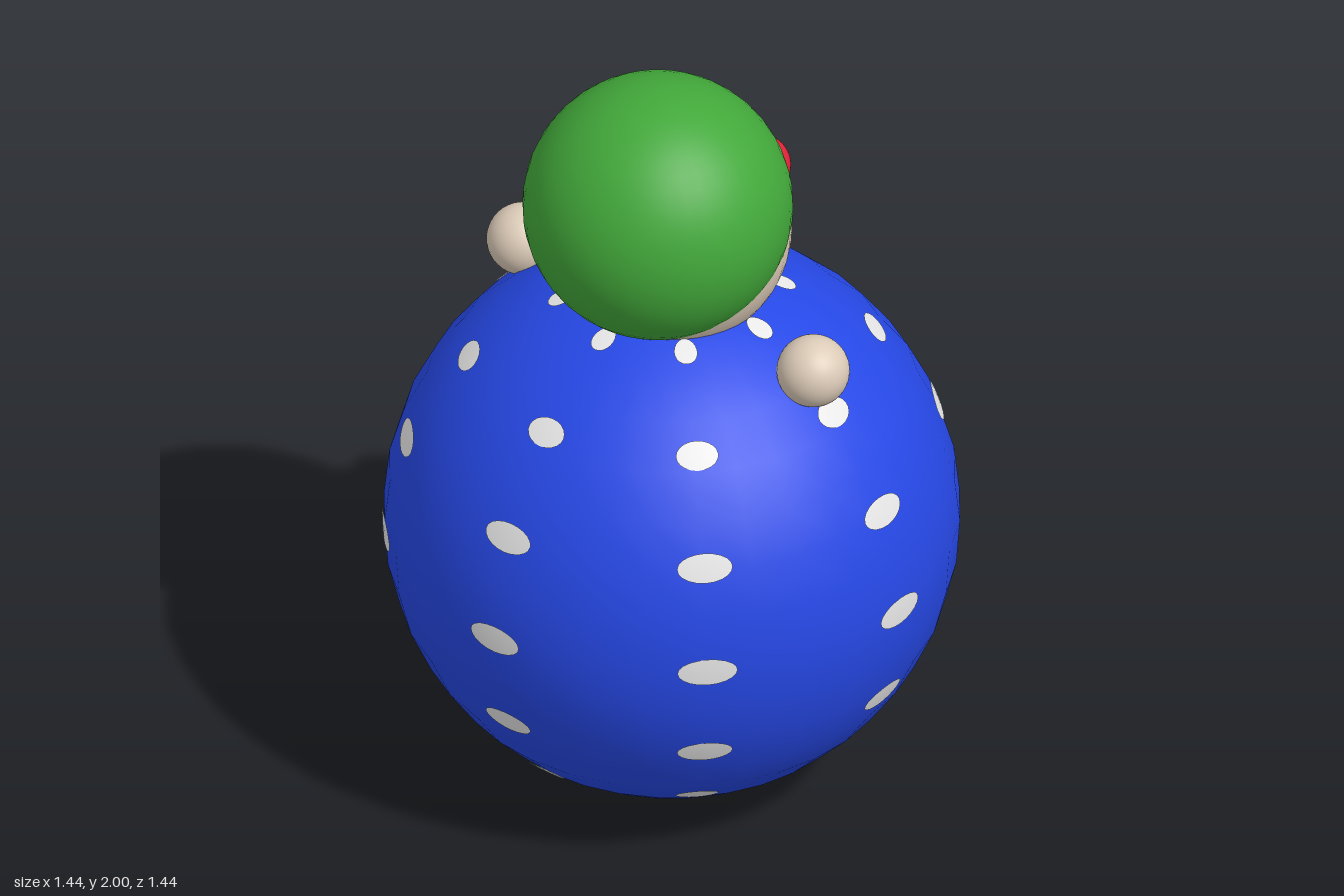
import * as THREE from 'three';
import { mergeGeometries } from 'three/addons/utils/BufferGeometryUtils.js';

const material = (name, color) => {
  const m = new THREE.MeshStandardMaterial({ color });
  m.name = name;
  return m;
};

// Oval skin patch hugging a sphere; angles in radians, phi = 0 faces +z and grows towards +x
function spherePatch(radius, phi, lat, halfWidth, halfHeight) {
  const geo = new THREE.RingGeometry(0, 1, 20, 2);
  const pos = geo.attributes.position;
  const normal = geo.attributes.normal;
  const v = new THREE.Vector3();
  for (let i = 0; i < pos.count; i++) {
    const a = phi + pos.getX(i) * halfWidth;
    const b = lat + pos.getY(i) * halfHeight;
    v.set(Math.sin(a) * Math.cos(b), Math.sin(b), Math.cos(a) * Math.cos(b));
    normal.setXYZ(i, v.x, v.y, v.z);
    pos.setXYZ(i, v.x * radius, v.y * radius, v.z * radius);
  }
  return geo;
}

export function createModel() {
  const blue = material('royal blue', 0x2648e6);
  const white = material('spot white', 0xf0f0f0);
  const green = material('cap green', 0x42a83a);
  const skin = material('skin beige', 0xdccbb8);
  const red = material('nose red', 0xe0233a);

  const model = new THREE.Group();
  const add = (name, geo, mat, x, y, z) => {
    const mesh = new THREE.Mesh(geo, mat);
    mesh.name = name;
    mesh.position.set(x, y, z);
    model.add(mesh);
    return mesh;
  };
  const ball = (name, r, mat, x, y, z) =>
    add(name, new THREE.SphereGeometry(r, 40, 28), mat, x, y, z);
  const deg = THREE.MathUtils.degToRad;

  // Round body, cut flat where the head sits
  const R = 0.717;
  const cut = deg(18);
  add('body', new THREE.SphereGeometry(R, 32, 16, 0, Math.PI * 2, cut, Math.PI - cut), blue, 0, R, 0);
  const collar = new THREE.CircleGeometry(R * Math.sin(cut), 32).rotateX(-Math.PI / 2);
  add('bodyTop', collar, blue, 0, R + R * Math.cos(cut), 0);

  // Seven rows of eight spots
  const spots = [];
  for (let row = -3; row <= 3; row++) {
    for (let i = 0; i < 8; i++) {
      spots.push(spherePatch(R + 0.002, deg(i * 45) + 0.018, deg(row * 22.5), 0.105, 0.053));
    }
  }
  add('spots', mergeGeometries(spots), white, 0, R, 0);

  // Head looking along +x, with an overlapping cap
  const headR = 0.298;
  const headY = 1.57;
  ball('head', headR, skin, 0, headY, 0);
  ball('cap', 0.336, green, -0.056, 1.664, 0);
  ball('nose', 0.075, red, 0.35, headY, 0);
  const eyes = [44, 130].map((a) => spherePatch(headR + 0.002, deg(a), 0.05, 0.09, 0.072));
  add('eyes', mergeGeometries(eyes), blue, 0, headY, 0);

  // Hands
  ball('frontHand', 0.091, skin, 0, 1.33, 0.45);
  ball('backHand', 0.091, skin, 0, 1.33, -0.475);

  return model;
}
